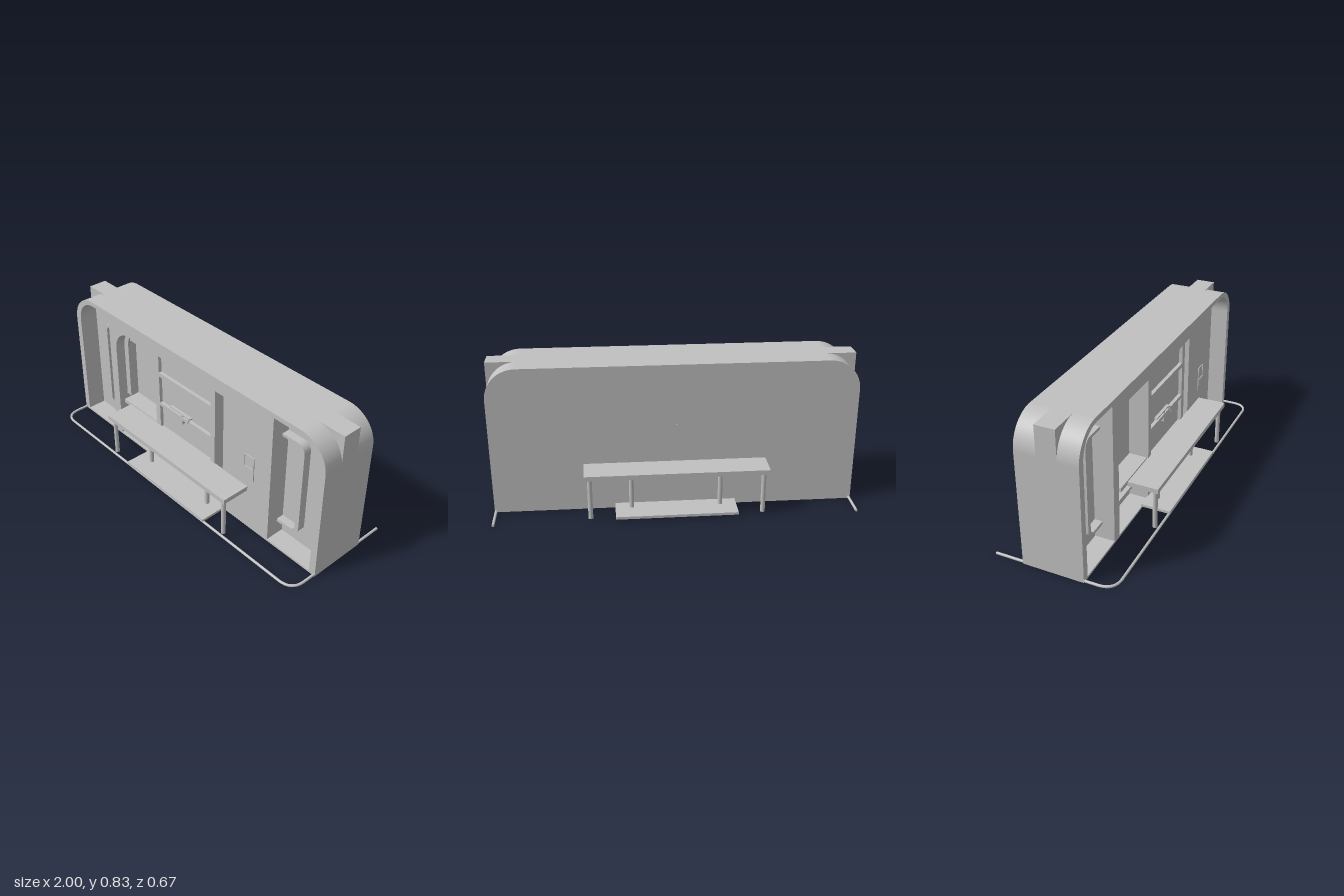
import * as THREE from 'three';

export function createModel() {
  const model = new THREE.Group();
  const grey = new THREE.MeshStandardMaterial({ color: 0xc0c0c0 });
  grey.name = 'plain grey';

  const add = (name, geometry, x = 0, y = 0, z = 0) => {
    const mesh = new THREE.Mesh(geometry, grey);
    mesh.name = name;
    mesh.position.set(x, y, z);
    model.add(mesh);
    return mesh;
  };
  // Box given by its limits on each axis
  const box = (name, x0, x1, y0, y1, z0, z1) =>
    add(name, new THREE.BoxGeometry(x1 - x0, y1 - y0, z1 - z0), (x0 + x1) / 2, (y0 + y1) / 2, (z0 + z1) / 2);
  const extrude = (name, shape, z0, z1) =>
    add(name, new THREE.ExtrudeGeometry(shape, { depth: z1 - z0, bevelEnabled: false, curveSegments: 16 }), 0, 0, z0);

  // Outline with separate radii for the four corners
  const outline = (x0, x1, y0, y1, topLeft = 0, topRight = 0, bottom = 0, Kind = THREE.Shape) => {
    const s = new Kind();
    s.moveTo(x0 + bottom, y0);
    s.lineTo(x1 - bottom, y0);
    if (bottom) s.absarc(x1 - bottom, y0 + bottom, bottom, -Math.PI / 2, 0, false);
    s.lineTo(x1, y1 - topRight);
    if (topRight) s.absarc(x1 - topRight, y1 - topRight, topRight, 0, Math.PI / 2, false);
    s.lineTo(x0 + topLeft, y1);
    if (topLeft) s.absarc(x0 + topLeft, y1 - topLeft, topLeft, Math.PI / 2, Math.PI, false);
    s.lineTo(x0, y0 + bottom);
    if (bottom) s.absarc(x0 + bottom, y0 + bottom, bottom, Math.PI, Math.PI * 1.5, false);
    return s;
  };
  const hole = (x0, x1, y0, y1, tl = 0, tr = 0) => outline(x0, x1, y0, y1, tl, tr, 0, THREE.Path);
  const arch = () => outline(-1, 1, 0, 0.832, 0.17, 0.17);
  const sideHoles = () => [
    hole(-0.96, -0.665, 0.012, 0.806, 0.14, 0),
    hole(0.66, 0.96, 0.012, 0.806, 0, 0.14),
    hole(0.245, 0.31, 0.012, 0.75),
  ];

  // Square core and solid rear arch
  box('core', -1, 1, 0, 0.832, -0.055, 0.055);
  extrude('rearArch', arch(), -0.175, -0.055);

  // Inner front layer, its bay narrower above the counter
  const inner = arch();
  const bay = new THREE.Path();
  bay.moveTo(-0.607, 0.012);
  bay.lineTo(-0.25, 0.012);
  bay.lineTo(-0.25, 0.75);
  bay.lineTo(-0.45, 0.75);
  bay.absarc(-0.45, 0.63, 0.12, Math.PI / 2, Math.PI, false);
  bay.lineTo(-0.57, 0.28);
  bay.lineTo(-0.607, 0.28);
  inner.holes.push(...sideHoles(), bay);
  extrude('innerFrontLayer', inner, 0.055, 0.11);

  // Outer front layer with bay and panel openings
  const outer = arch();
  outer.holes.push(...sideHoles(), hole(-0.607, -0.25, 0.012, 0.75, 0.13, 0));
  const panels = [[0.64, 0.745], [0.44, 0.615], [0.27, 0.42], [0.015, 0.25]];
  panels.forEach(([y0, y1]) => outer.holes.push(hole(-0.215, 0.21, y0, y1)));
  extrude('outerFrontLayer', outer, 0.11, 0.168);
  panels.slice(0, 3).forEach(([y0, y1]) => box('recessedPanel', -0.22, 0.215, y0 - 0.005, y1 + 0.005, 0.11, 0.148));
  box('bayCounter', -0.57, -0.25, 0.253, 0.278, 0.055, 0.16);

  // Long rounded trim seen through the recesses
  const trim = outline(-0.815, 0.81, 0.1, 0.682, 0.05, 0.05, 0.05);
  trim.holes.push(outline(-0.79, 0.785, 0.118, 0.666, 0.035, 0.035, 0.035, THREE.Path));
  extrude('trimRing', trim, 0.054, 0.1);

  // Bulging lower panel with small side brackets
  const bulge = new THREE.CylinderGeometry(0.11, 0.11, 0.335, 32);
  bulge.rotateZ(Math.PI / 2);
  bulge.scale(1, 1, 0.5);
  add('bulgingPanel', bulge, 0.002, 0.14, 0.11);
  for (const [x0, x1] of [[-0.215, -0.165], [0.17, 0.21]])
    box('sideBracket', x0, x1, 0.16, 0.215, 0.11, 0.15);

  // Tap, wall plate and rear stud
  box('tapBar', -0.13, 0.04, 0.45, 0.458, 0.147, 0.165);
  const spout = add('tapSpout', new THREE.ConeGeometry(0.01, 0.05, 8), 0.03, 0.435, 0.175);
  spout.rotation.x = Math.PI * 0.85;
  box('tapStem', -0.035, -0.022, 0.39, 0.455, 0.147, 0.166);
  const plate = outline(0.47, 0.545, 0.33, 0.488, 0.008, 0.008, 0.008);
  plate.holes.push(outline(0.477, 0.538, 0.41, 0.481, 0.005, 0.005, 0.005, THREE.Path));
  extrude('wallPlate', plate, 0.167, 0.173);
  box('rearStud', -0.012, -0.004, 0.486, 0.496, -0.182, -0.174);

  // Counter, step and legs on both long sides
  for (const s of [1, -1]) {
    const a = s > 0 ? 0.165 : -0.335;
    const b = s > 0 ? 0.335 : -0.17;
    box('counter', -0.5, 0.5, 0.25, 0.277, a, b);
    box('step', -0.335, 0.335, 0.013, 0.028, a, b);
    for (const [x, z] of [[0.47, 0.308], [0.245, 0.223]])
      for (const m of [1, -1])
        add('leg', new THREE.CylinderGeometry(0.013, 0.013, 0.237, 16), m * x, 0.1335, s * z);
  }

  // Low guard rail around the front and the two ends
  const rail = new THREE.CurvePath();
  const y = 0.0075, e = 0.9925, f = 0.3275, r = 0.09;
  const v = (x, z) => new THREE.Vector3(x, y, z);
  rail.add(new THREE.LineCurve3(v(-e, -0.335), v(-e, f - r)));
  rail.add(new THREE.QuadraticBezierCurve3(v(-e, f - r), v(-e, f), v(-e + r, f)));
  rail.add(new THREE.LineCurve3(v(-e + r, f), v(e - r, f)));
  rail.add(new THREE.QuadraticBezierCurve3(v(e - r, f), v(e, f), v(e, f - r)));
  rail.add(new THREE.LineCurve3(v(e, f - r), v(e, -0.335)));
  add('guardRail', new THREE.TubeGeometry(rail, 200, 0.0075, 10, false));
  for (const x of [-e, e]) {
    const cap = new THREE.CircleGeometry(0.0075, 10);
    cap.rotateY(Math.PI);
    add('railCap', cap, x, y, -0.335);
  }

  return model;
}
